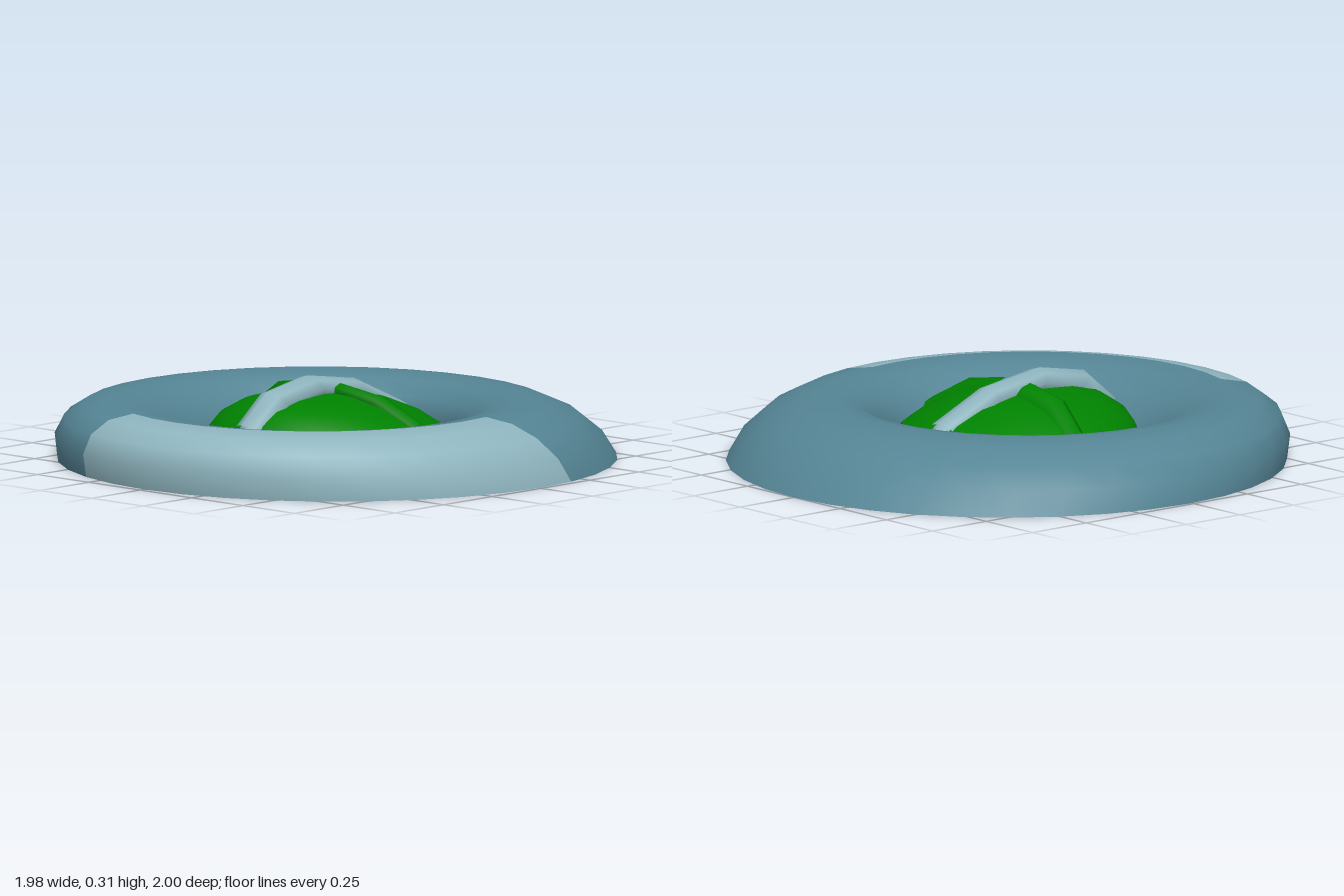
import * as THREE from 'three';
import { mergeGeometries } from 'three/addons/utils/BufferGeometryUtils.js';

const SEGMENTS = 36;
const PATCH_SEGMENTS = 12;

function material(name, color) {
  const m = new THREE.MeshStandardMaterial({ color });
  m.name = name;
  return m;
}

// The whole shape leans forward as it rises: z grows by half of y.
const lean = new THREE.Matrix4().set(
  1, 0, 0, 0,
  0, 1, 0, 0,
  0, 0.5, 1, -0.01,
  0, 0, 0, 1
);

// Angular bar along a path, flattened vertically by squash.
function bar(points, radius, pieces, squash) {
  const path = points.map(([x, y, z]) => new THREE.Vector3(x, y / squash, z));
  const curve = new THREE.CatmullRomCurve3(path);
  const tube = new THREE.TubeGeometry(curve, pieces, radius, 8);
  const caps = [path[0], path[path.length - 1]].map((p) =>
    new THREE.SphereGeometry(radius * 0.8, 8, 6).translate(p.x, p.y, p.z));
  return mergeGeometries([tube, ...caps]).scale(1, squash, 1);
}

function lathe(profile) {
  const points = profile.map(([r, y]) => new THREE.Vector2(r, y));
  return new THREE.LatheGeometry(points, SEGMENTS, -Math.PI / 9);
}

export function createModel() {
  const group = new THREE.Group();
  const blue = material('slateBlue', 0x558595);
  const pale = material('paleBlue', 0x8fb5bf);
  const green = material('green', 0x008200);
  const darkGreen = material('darkGreen', 0x005a04);

  function add(name, geometry, mat) {
    const mesh = new THREE.Mesh(geometry.applyMatrix4(lean), mat);
    mesh.name = name;
    group.add(mesh);
  }

  // Upper half of a flattened torus
  const profile = [];
  for (let i = 0; i <= 8; i++) {
    const a = (i / 8) * Math.PI;
    profile.push([0.72 + 0.27 * Math.cos(a), 0.22 * Math.sin(a)]);
  }
  const ring = lathe(profile);
  // Pale patch: the outer half of one third of the ring
  const perSegment = 8 * 6;
  for (let i = 0; i < PATCH_SEGMENTS; i++) {
    ring.addGroup(i * perSegment, perSegment / 2, 1);
    ring.addGroup(i * perSegment + perSegment / 2, perSegment / 2, 0);
  }
  ring.addGroup(PATCH_SEGMENTS * perSegment, (SEGMENTS - PATCH_SEGMENTS) * perSegment, 0);
  add('ring', ring, [blue, pale]);

  // Flat underside
  add('ringBase', lathe([[0.46, 0], [0.99, 0]]), blue);
  add('domeBase', lathe([[0, 0], [0.46, 0]]), darkGreen);

  // Central dome on a steep dark skirt
  add('domeSkirt', lathe([[0.46, 0], [0.452, 0.05], [0.415, 0.115]]), darkGreen);
  add('dome', lathe([[0.415, 0.115], [0.36, 0.165], [0.27, 0.21], [0.15, 0.238], [0, 0.248]]), green);

  // Arched handle running front to back
  add('archedHandle', bar([
    [0, 0.14, 0.355], [0, 0.185, 0.3], [0, 0.234, 0.19], [0, 0.265, 0],
    [0, 0.234, -0.19], [0, 0.185, -0.3], [0, 0.14, -0.355],
  ], 0.063, 4, 0.72), pale);

  // Side bars
  for (const s of [1, -1]) {
    add(s > 0 ? 'leftBar' : 'rightBar', bar([
      [s * 0.06, 0.236, -0.085], [s * 0.21, 0.217, -0.085], [s * 0.375, 0.125, -0.085],
    ], 0.045, 2, 0.95), green);
  }
  return group;
}
